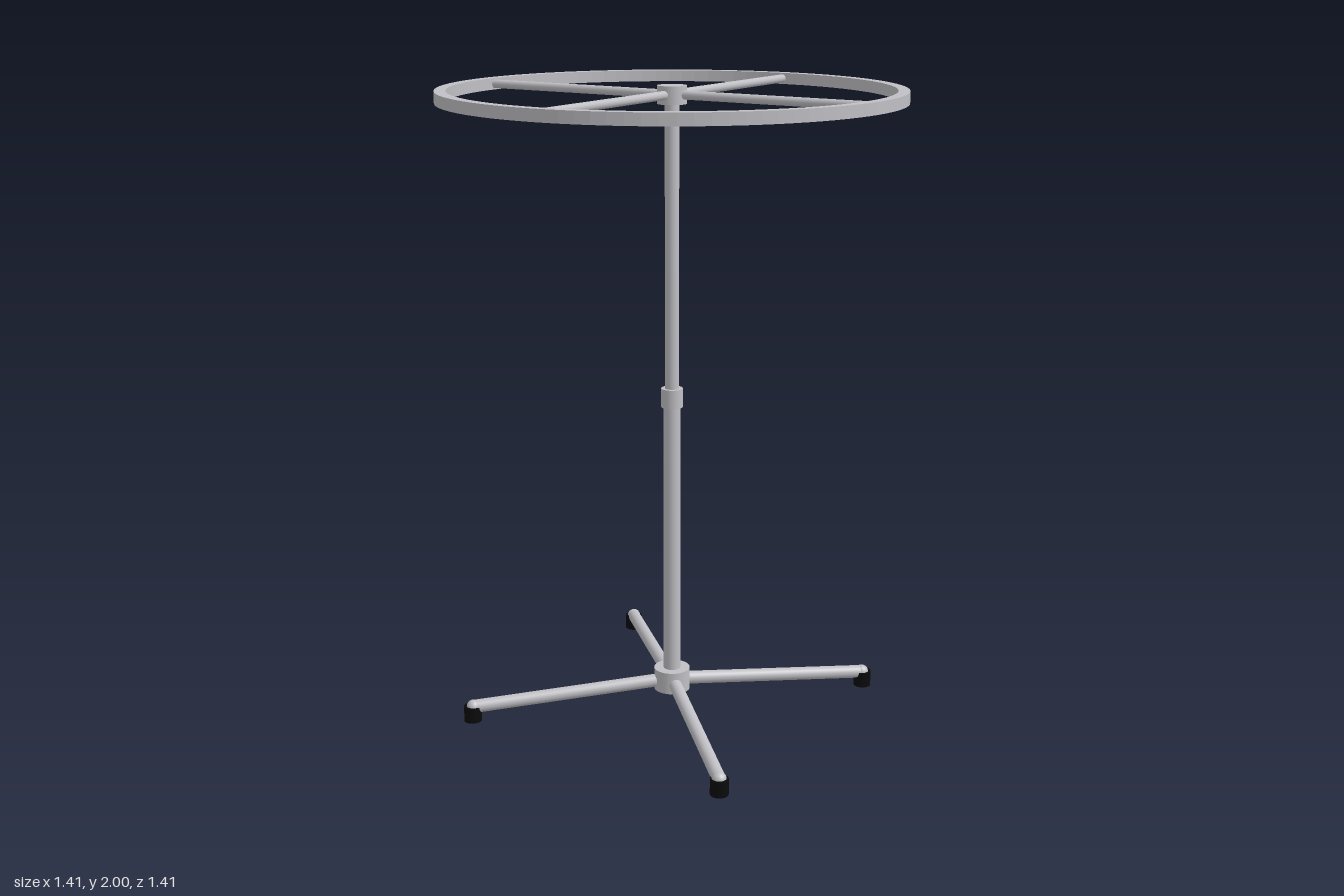
import * as THREE from 'three';

export function createModel() {
  const model = new THREE.Group();
  const metal = new THREE.MeshStandardMaterial({ color: 0xc0bfc4 });
  metal.name = 'satin metal';
  const rubber = new THREE.MeshStandardMaterial({ color: 0x0a0a0a });
  rubber.name = 'black rubber';

  const add = (name, geometry, material, parent = model) => {
    const mesh = new THREE.Mesh(geometry, material);
    mesh.name = name;
    parent.add(mesh);
    return mesh;
  };
  // Upright cylinder spanning y0 to y1
  const post = (name, r, y0, y1, material = metal, parent = model) => {
    const mesh = add(name, new THREE.CylinderGeometry(r, r, y1 - y0, 32), material, parent);
    mesh.position.y = (y0 + y1) / 2;
    return mesh;
  };

  // Telescopic column with its hubs
  post('baseHub', 0.058, 0.052, 0.124);
  post('lowerPole', 0.027, 0.1, 1.01);
  post('collar', 0.034, 1.005, 1.065);
  post('upperPole', 0.022, 1.06, 1.95);
  post('topHub', 0.045, 1.945, 2);

  // Flat-sided rim
  const rimShape = new THREE.Shape().absarc(0, 0, 0.707, 0, Math.PI * 2);
  rimShape.holes.push(new THREE.Path().absarc(0, 0, 0.672, 0, Math.PI * 2, true));
  const rimGeometry = new THREE.ExtrudeGeometry(rimShape, {
    depth: 0.036, bevelEnabled: false, curveSegments: 48,
  });
  rimGeometry.rotateX(-Math.PI / 2);
  add('rim', rimGeometry, metal).position.y = 1.955;

  // Four round spokes
  for (let i = 0; i < 4; i++) {
    const spoke = new THREE.CylinderGeometry(0.0135, 0.0135, 0.65, 20);
    spoke.rotateZ(Math.PI / 2).translate(0.355, 1.973, 0).rotateY(i * Math.PI / 2);
    add('spoke', spoke, metal);
  }

  // Four sloping legs, each turned down into a rubber foot
  const reach = 0.65;
  const start = new THREE.Vector3(0.03, 0.083, 0);
  const end = new THREE.Vector3(reach, 0.047, 0);
  for (let i = 0; i < 4; i++) {
    const leg = new THREE.Group();
    leg.name = 'leg';
    leg.rotation.y = Math.PI / 4 + i * Math.PI / 2;
    model.add(leg);
    add('legTube', new THREE.TubeGeometry(new THREE.LineCurve3(start, end), 1, 0.021, 24), metal, leg);
    add('legElbow', new THREE.SphereGeometry(0.0225, 24, 16), metal, leg).position.copy(end);
    post('foot', 0.028, 0, 0.05, rubber, leg).position.x = reach + 0.003;
  }
  return model;
}
